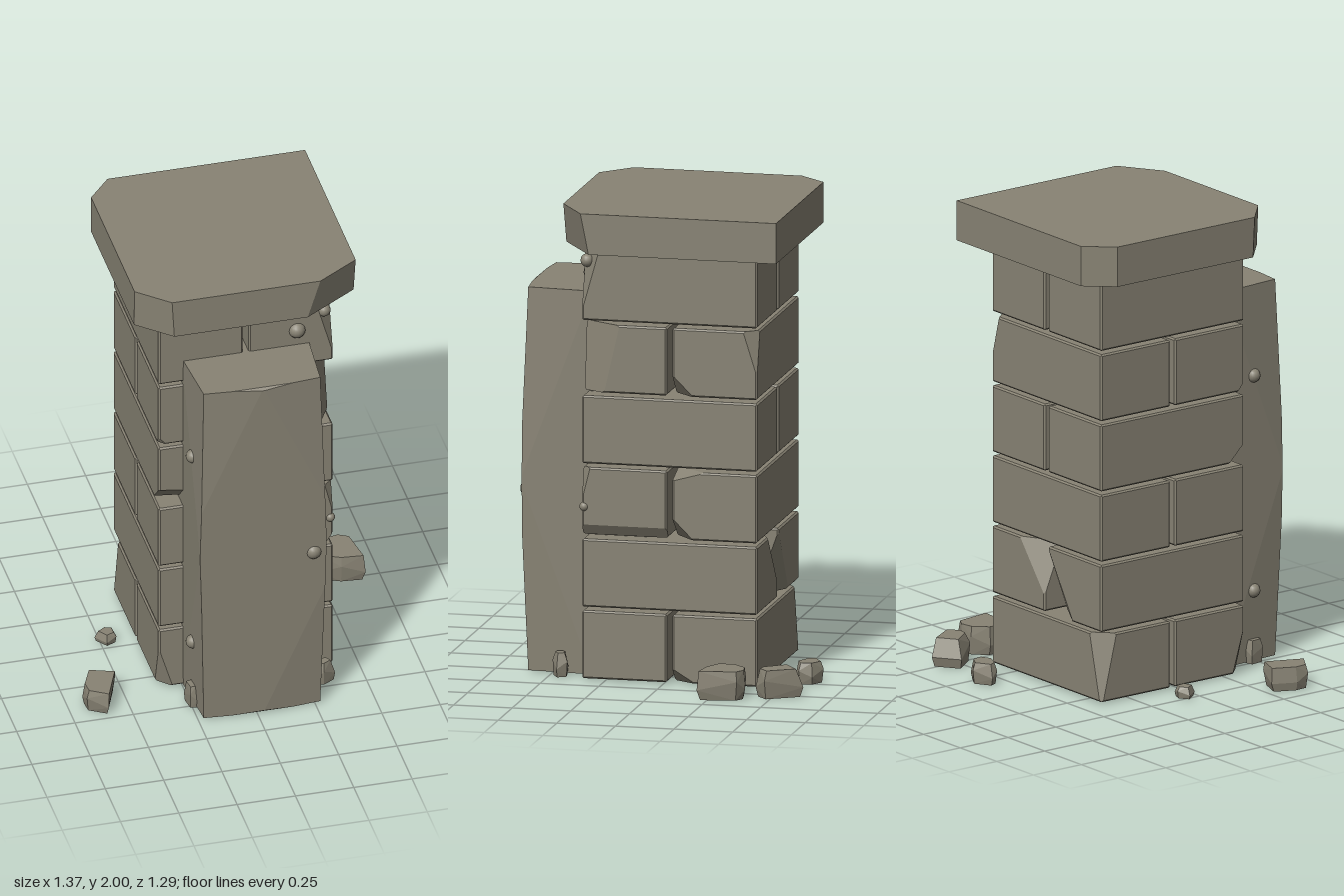
import * as THREE from 'three';
import { ConvexGeometry } from 'three/addons/geometries/ConvexGeometry.js';

const stone = new THREE.MeshStandardMaterial({ color: 0x888374 });
stone.name = 'stone';

// Box from lo to hi with planes sliced off. A chip is [sx, sy, sz, dx, dy, dz]:
// the signs pick a corner (0 = whole edge), the distances say how far it bites.
function chippedBox(lo, hi, chips = [], bevel = 0.007) {
  const planes = [];
  for (let i = 0; i < 3; i++) {
    const n = new THREE.Vector3().setComponent(i, 1);
    planes.push(new THREE.Plane(n, -hi[i]), new THREE.Plane(n.clone().negate(), lo[i]));
  }
  const cut = (c) => {
    const n = new THREE.Vector3();
    let d = 1;
    for (let i = 0; i < 3; i++) {
      if (!c[i]) continue;
      n.setComponent(i, c[i] / c[i + 3]);
      d -= (c[i] * (c[i] > 0 ? hi[i] : lo[i])) / c[i + 3];
    }
    planes.push(new THREE.Plane(n, d).normalize());
  };
  if (bevel) {
    for (const a of [-1, 1]) for (const b of [-1, 1]) {
      cut([a, b, 0, bevel, bevel, 1]);
      cut([a, 0, b, bevel, 1, bevel]);
      cut([0, a, b, 1, bevel, bevel]);
    }
  }
  chips.forEach(cut);

  // corners are the triple-plane intersections that lie inside every plane
  const points = new Map();
  const N = planes.length;
  for (let i = 0; i < N; i++) for (let j = i + 1; j < N; j++) for (let k = j + 1; k < N; k++) {
    const [a, b, c] = [planes[i], planes[j], planes[k]];
    const bc = b.normal.clone().cross(c.normal);
    const det = a.normal.dot(bc);
    if (Math.abs(det) < 1e-6) continue;
    const p = bc.multiplyScalar(-a.constant)
      .addScaledVector(c.normal.clone().cross(a.normal), -b.constant)
      .addScaledVector(a.normal.clone().cross(b.normal), -c.constant)
      .divideScalar(det);
    if (planes.every((q) => q.distanceToPoint(p) < 1e-6)) {
      points.set(p.toArray().map((v) => Math.round(v * 1e4)).join(), p);
    }
  }
  return new ConvexGeometry([...points.values()]);
}

// Loose stone: ground outline [x, z] rising to a shrunken, shifted top
function rockGeometry(outline, height, shrink = 0.88, shift = [0, 0]) {
  const cx = outline.reduce((s, p) => s + p[0], 0) / outline.length;
  const cz = outline.reduce((s, p) => s + p[1], 0) / outline.length;
  const points = [];
  outline.forEach(([x, z], i) => {
    const at = (y, k, s) => points.push(new THREE.Vector3(
      cx + (x - cx) * k + shift[0] * s, y, cz + (z - cz) * k + shift[1] * s));
    at(0, 0.88, 0);
    at(height * (0.35 + 0.3 * (i % 2)), 1, 0);
    at(height, shrink, 1);
  });
  return new ConvexGeometry(points);
}

export function createModel() {
  const model = new THREE.Group();
  const add = (name, geometry) => {
    const mesh = new THREE.Mesh(geometry, stone);
    mesh.name = name;
    model.add(mesh);
    return mesh;
  };

  // Courses of two bricks each, alternately split front/back and left/right.
  // chips[row] = [chips of the first brick, chips of the second brick]
  const chips = [
    [[[-1, -1, 1, 0.06, 0.2, 0.06]],
      [[1, -1, 1, 0.06, 0.06, 0.1], [-1, 1, -1, 0.08, 0.33, 0.08]]],
    [[[1, -1, -1, 0.17, 0.28, 0.1]],
      [[-1, 1, -1, 0.17, 0.22, 0.09]]],
    [[[1, -1, 0, 0.03, 0.045, 1], [1, 1, 1, 0.035, 0.14, 0.035]],
      [[1, -1, 1, 0.1, 0.09, 0.09], [1, 1, 1, 0.12, 0.04, 0.14]]],
    [[[-1, -1, 1, 0.5, 0.08, 0.08]], []],
    [[[1, 1, 1, 0.09, 0.7, 0.16], [-1, -1, 1, 0.035, 0.04, 0.035]],
      [[1, 1, -1, 0.05, 0.19, 0.06], [1, -1, 1, 0.08, 0.09, 0.09]]],
    [[], [[1, 1, 1, 0.07, 0.25, 0.07]]],
  ];
  chips.forEach(([first, second], row) => {
    const y0 = 0.007 + row * 0.304;
    const y1 = y0 + 0.288;
    if (row % 2 === 0) {
      add('frontBrick', chippedBox([-0.352, y0, -0.015], [0.395, y1, 0.347], first));
      add('backBrick', chippedBox([-0.352, y0, -0.4], [0.395, y1, -0.038], second));
    } else {
      add('rightBrick', chippedBox([-0.352, y0, -0.4], [0.01, y1, 0.347], first));
      add('leftBrick', chippedBox([0.034, y0, -0.4], [0.395, y1, 0.347], second));
    }
  });

  // Cap slab with broken corners
  add('cap', chippedBox([-0.45, 1.828, -0.505], [0.497, 2, 0.445], [
    [-1, 0, -1, 0.1, 1, 0.115],
    [-1, -1, 1, 0.14, 2.5, 0.127],
    [1, -1, 1, 0.235, 0.75, 0.15],
  ], 0));

  // Tall standing slab, front face tapering to its ends
  const slabChips = [];
  for (const sx of [-1, 1]) for (const sy of [-1, 1]) {
    slabChips.push([sx, sy, 1, 0.023, 0.8, 0.3], [sx, sy, 1, 0.27, 0.6, 0.025]);
  }
  slabChips.push([0, 1, 1, 1, 0.01, 0.012], [0, -1, 1, 1, 0.01, 0.012]);
  add('standingSlab', chippedBox([-0.247, 0.004, 0.09], [0.295, 1.63, 0.628], slabChips, 0));

  // Rounded studs: x, y, z, radius
  const studs = [
    [0.242, 1.7, 0.34, 0.036], [0.36, 1.775, 0.333, 0.028],
    [0.242, 0.77, 0.61, 0.036], [0.385, 0.735, 0.34, 0.02],
    [-0.24, 1.24, 0.48, 0.03], [-0.24, 0.31, 0.48, 0.03],
  ];
  for (const [x, y, z, r] of studs) {
    add('stud', new THREE.SphereGeometry(r, 16, 10)).position.set(x, y, z);
  }

  // Rubble around the foot
  add('rock', rockGeometry([[-0.64, 0.27], [-0.53, 0.31], [-0.6, 0.48], [-0.68, 0.43], [-0.685, 0.37]], 0.1, 0.92, [0.006, 0]));
  add('rock', rockGeometry([[-0.52, -0.065], [-0.475, -0.095], [-0.435, -0.08], [-0.435, -0.03], [-0.48, -0.01]], 0.048, 0.7));
  add('rock', rockGeometry([[0.135, -0.595], [0.21, -0.64], [0.27, -0.605], [0.28, -0.55], [0.225, -0.525], [0.15, -0.56]], 0.09, 0.8));
  add('rock', rockGeometry([[0.51, -0.625], [0.6, -0.48], [0.545, -0.43], [0.49, -0.44], [0.405, -0.55]], 0.12, 0.75, [0.01, 0]));
  add('rock', rockGeometry([[0.495, -0.33], [0.55, -0.39], [0.61, -0.4], [0.655, -0.375], [0.68, -0.21], [0.58, -0.22], [0.495, -0.26]], 0.123, 0.93));
  add('rock', rockGeometry([[0.29, 0.43], [0.35, 0.42], [0.375, 0.46], [0.32, 0.49], [0.29, 0.485]], 0.1, 0.6));
  add('rock', rockGeometry([[-0.27, 0.45], [-0.23, 0.44], [-0.23, 0.52], [-0.26, 0.515]], 0.1, 0.7));
  return model;
}
